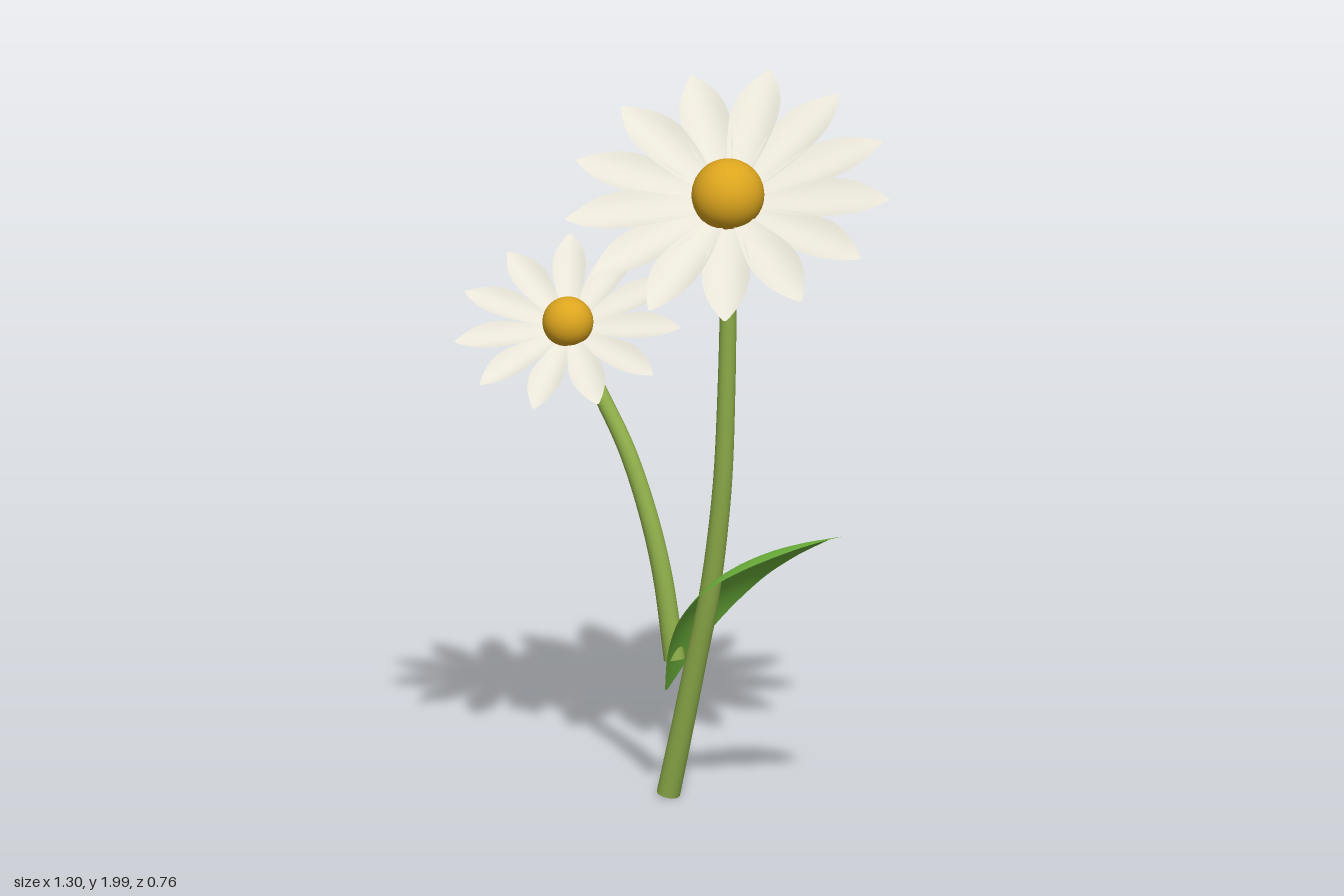
import * as THREE from 'three';

const mat = (name, color, side = THREE.FrontSide) => {
  const m = new THREE.MeshStandardMaterial({ color, side });
  m.name = name;
  return m;
};

// Smooth sheet from a rule: at(t, s) with t from 0 to 1 along it and s from -1 to 1 across it
function sheet(rows, cols, at) {
  const pos = [], index = [];
  for (let i = 0; i <= rows; i++) {
    for (let j = 0; j <= cols; j++) pos.push(...at(i / rows, (j / cols) * 2 - 1));
  }
  for (let i = 0; i < rows; i++) {
    for (let j = 0; j < cols; j++) {
      const a = i * (cols + 1) + j, b = a + 1, c = a + cols + 1, d = c + 1;
      index.push(a, b, c, b, d, c);
    }
  }
  const g = new THREE.BufferGeometry();
  g.setAttribute('position', new THREE.Float32BufferAttribute(pos, 3));
  g.setIndex(index);
  g.computeVertexNormals();
  return g;
}

const curveOf = (pts) => new THREE.CatmullRomCurve3(pts.map((p) => new THREE.Vector3(...p)));

// Tube that narrows from r0 to r1, closed at its lower end
function stem(name, pts, r0, r1, material) {
  const curve = curveOf(pts), n = 40, sides = 20;
  const g = new THREE.TubeGeometry(curve, n, 1, sides);
  const p = g.attributes.position, v = new THREE.Vector3();
  for (let i = 0; i <= n; i++) {
    const c = curve.getPointAt(i / n), r = r0 + (r1 - r0) * (i / n);
    for (let j = 0; j <= sides; j++) {
      const k = i * (sides + 1) + j;
      v.fromBufferAttribute(p, k).sub(c).multiplyScalar(r).add(c);
      p.setXYZ(k, v.x, v.y, v.z);
    }
  }
  const group = new THREE.Group();
  group.name = name;
  const cap = new THREE.Mesh(new THREE.CircleGeometry(r0, sides), material);
  cap.name = name + 'Cap';
  cap.position.copy(curve.getPointAt(0));
  cap.quaternion.setFromUnitVectors(new THREE.Vector3(0, 0, 1), curve.getTangentAt(0).negate());
  const tube = new THREE.Mesh(g, material);
  tube.name = name + 'Tube';
  group.add(tube, cap);
  return group;
}

// Petal: [distance from centre, half width, height]
const petalCurve = curveOf([
  [0.05, 0.02, -0.04], [0.12, 0.037, -0.032], [0.2, 0.056, -0.021], [0.28, 0.066, -0.012],
  [0.35, 0.056, -0.007], [0.41, 0.028, -0.004], [0.445, 0.004, -0.002],
]);
const petalGeometry = sheet(18, 8, (t, s) => {
  const c = petalCurve.getPoint(t);
  return [c.x, c.z + 5 * c.y * c.y * (s * s - 0.4), c.y * s];
});

// Flower head facing up and forward; the first petal points along "first"
function flower(name, centre, scale, count, first, mats) {
  const group = new THREE.Group();
  group.name = name;
  const up = new THREE.Vector3(0.355, 1, 0.625).normalize();
  const u = new THREE.Vector3(...first).projectOnPlane(up).normalize();
  group.setRotationFromMatrix(new THREE.Matrix4().makeBasis(u, up, u.clone().cross(up)));
  group.position.set(...centre);
  group.scale.setScalar(scale);
  for (let i = 0; i < count; i++) {
    const petal = new THREE.Mesh(petalGeometry, mats.petal);
    petal.name = 'petal';
    petal.rotation.y = (i / count) * Math.PI * 2;
    petal.position.y = (i % 2) * 0.004;
    group.add(petal);
  }
  const disc = new THREE.Mesh(new THREE.SphereGeometry(0.099, 32, 20), mats.centre);
  disc.name = 'flowerCentre';
  group.add(disc);
  return group;
}

export function createModel() {
  const mats = {
    petal: mat('petalWhite', 0xf1eee0, THREE.DoubleSide),
    centre: mat('centreYellow', 0xdca51e),
    stem: mat('stemGreen', 0x8dac49),
    leaf: mat('leafGreen', 0x6eb43c, THREE.DoubleSide),
  };
  const model = new THREE.Group();
  model.name = 'daisies';

  // Stems
  model.add(stem('mainStem', [
    [-0.013, 0.015, -0.015], [0.035, 0.2, -0.015], [0.085, 0.4, -0.015], [0.135, 0.6, -0.015],
    [0.18, 0.9, -0.015], [0.197, 1.2, -0.015], [0.205, 1.55, -0.015], [0.21, 1.7, -0.012],
  ], 0.032, 0.021, mats.stem));
  model.add(stem('sideStem', [
    [0.01, 0.395, -0.014], [-0.035, 0.63, -0.014], [-0.09, 0.8, -0.014],
    [-0.165, 0.96, -0.014], [-0.265, 1.11, -0.013], [-0.35, 1.25, -0.01],
  ], 0.029, 0.02, mats.stem));

  // Flower heads
  model.add(flower('largeFlower', [0.22, 1.74, 0.006], 1, 13, [0.06, 0.21, -0.38], mats));
  model.add(flower('smallFlower', [-0.36, 1.281, 0.002], 0.7, 11, [0, 0.17, -0.26], mats));

  // Leaf: arched midrib with drooping edges, and a half width for each point along it
  const rib = curveOf([
    [-0.018, 0.305, -0.012], [0.04, 0.445, -0.02], [0.1, 0.555, -0.035], [0.18, 0.645, -0.05],
    [0.28, 0.712, -0.07], [0.4, 0.767, -0.09], [0.525, 0.81, -0.112],
  ]);
  const widths = curveOf([0.005, 0.07, 0.115, 0.132, 0.122, 0.085, 0.003].map((w, i) => [i, w, 0]));
  const leaf = new THREE.Mesh(sheet(32, 10, (t, s) => {
    const c = rib.getPoint(t), d = rib.getTangent(t), w = widths.getPoint(t).y;
    const droop = 2 * w * w * (0.4 - s * s);
    return [c.x - d.y * droop, c.y + d.x * droop, c.z + w * s];
  }), mats.leaf);
  leaf.name = 'leaf';
  model.add(leaf);
  return model;
}
